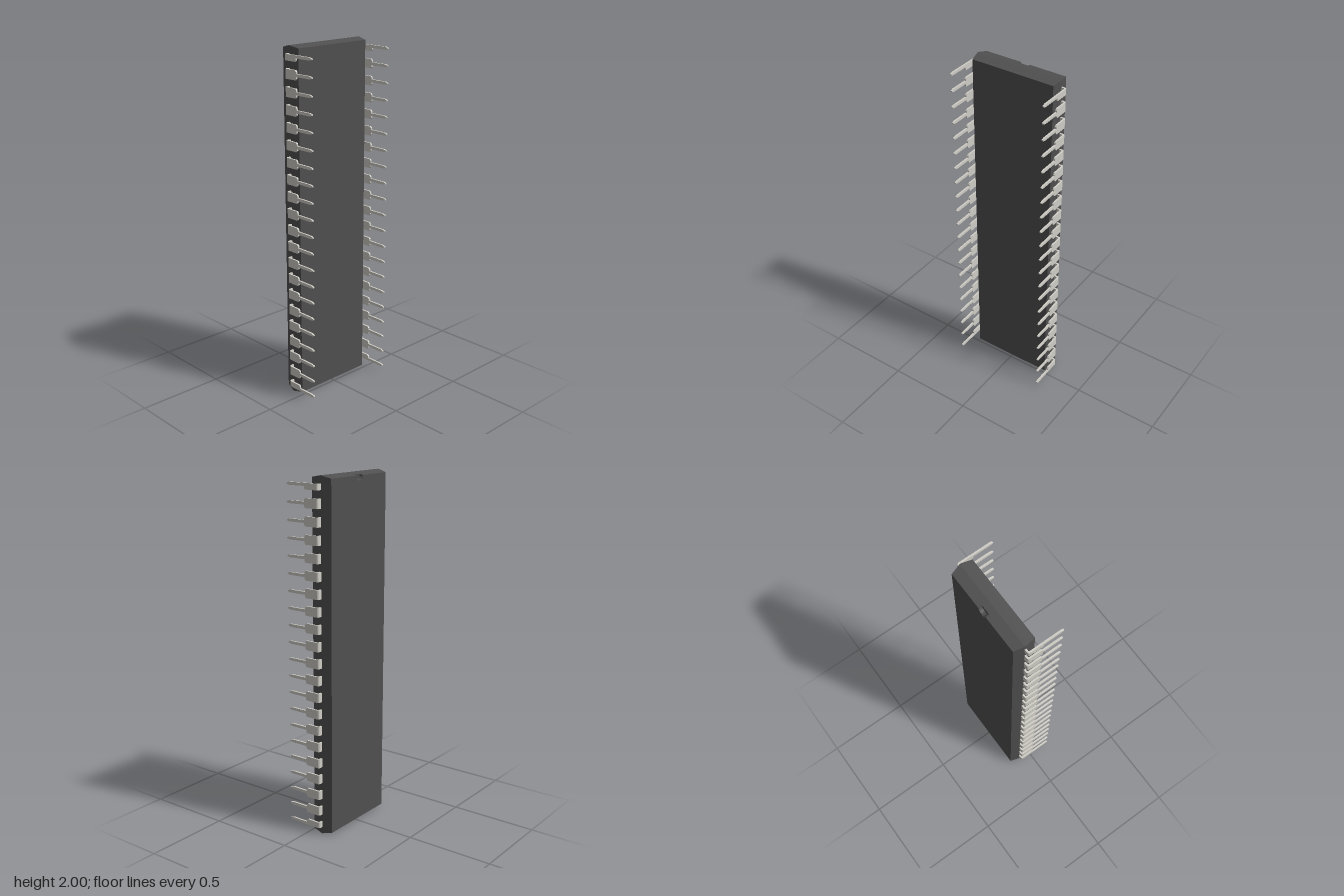
import * as THREE from 'three';
import { mergeGeometries } from 'three/addons/utils/BufferGeometryUtils.js';

const HALF_W = 0.257, HALF_H = 1;             // body at its widest seam
const PITCH = 0.0952, PINS_PER_SIDE = 21;
const SHOULDER = 0.026, LEG = 0.008;          // half widths of a pin
const OUT = 0.285, THICK = 0.01;              // pin outer face and sheet thickness

// One layer of the body between two depths, each inset from the widest outline.
function slab(z0, inset0, z1, inset1, notchRadius = 0) {
  const s = new THREE.Shape();
  s.moveTo(-HALF_W, -HALF_H);
  s.lineTo(HALF_W, -HALF_H);
  s.lineTo(HALF_W, HALF_H);
  if (notchRadius) {
    s.lineTo(notchRadius, HALF_H);
    s.absarc(0, HALF_H, notchRadius, 0, -Math.PI, true);
  }
  s.lineTo(-HALF_W, HALF_H);
  s.closePath();
  const g = new THREE.ExtrudeGeometry(s, { depth: z1 - z0, bevelEnabled: false, curveSegments: 16 });
  g.translate(0, 0, z0);
  const p = g.attributes.position;
  const mid = (z0 + z1) / 2;
  for (let i = 0; i < p.count; i++) {
    const inset = p.getZ(i) < mid ? inset0 : inset1;
    const x = p.getX(i), y = p.getY(i);
    if (Math.abs(x) > HALF_W - 1e-4) p.setX(i, x - Math.sign(x) * inset);
    if (Math.abs(y) > HALF_H - 1e-4) p.setY(i, y - Math.sign(y) * inset);
    else if (notchRadius && y > 0) p.setY(i, y - inset);
  }
  g.computeVertexNormals();
  return g;
}

// Bent pin: wide shoulder around the bend, then a narrow leg with a tapered tip.
function pinGeometry(lo, hi) {
  const bend = new THREE.Shape();
  bend.moveTo(0.245, 0.0665);
  bend.lineTo(0.271, 0.0665);
  bend.quadraticCurveTo(OUT - THICK, 0.0665, OUT - THICK, 0.0625);
  bend.lineTo(OUT - THICK, 0);
  bend.lineTo(OUT, 0);
  bend.lineTo(OUT, 0.0625);
  bend.quadraticCurveTo(OUT, 0.0765, 0.271, 0.0765);
  bend.lineTo(0.245, 0.0765);
  bend.closePath();
  const shoulder = new THREE.ExtrudeGeometry(bend, { depth: hi - lo, bevelEnabled: false, curveSegments: 5 });
  shoulder.rotateX(-Math.PI / 2).translate(0, lo, 0);

  const outline = [
    [0, lo], [0.006, lo], [0.013, Math.max(lo, -0.018)], [0.013, -LEG], [0.113, -LEG], [0.131, -0.003],
    [0.131, 0.003], [0.113, LEG], [0.013, LEG], [0.013, Math.min(hi, 0.018)], [0.006, hi], [0, hi],
  ].map(([z, y]) => new THREE.Vector2(z, y))
    .filter((v, i, a) => i === 0 || !v.equals(a[i - 1]));
  const leg = new THREE.ExtrudeGeometry(new THREE.Shape(outline), { depth: THICK, bevelEnabled: false });
  leg.rotateY(-Math.PI / 2).translate(OUT, 0, 0);
  return mergeGeometries([shoulder, leg]);
}

export function createModel() {
  const model = new THREE.Group();
  model.name = 'chipPackage';
  const plastic = new THREE.MeshStandardMaterial({ color: 0x505050 });
  const metal = new THREE.MeshStandardMaterial({ color: 0xd0cec6 });

  // Body: notched back layer, back taper, seam band, front taper
  const body = new THREE.Mesh(mergeGeometries([
    slab(-0.133, 0.014, -0.113, 0.009, 0.028),
    slab(-0.113, 0.009, -0.077, 0),
    slab(-0.077, 0, -0.067, 0),
    slab(-0.067, 0, -0.01, 0.011),
  ]), plastic);
  body.name = 'body';
  body.position.y = 1;
  model.add(body);

  // Pin rows: the end pins have their outer shoulder trimmed
  const full = pinGeometry(-SHOULDER, SHOULDER);
  const topEnd = pinGeometry(-SHOULDER, LEG);
  const bottomEnd = pinGeometry(-LEG, SHOULDER);
  const last = (PINS_PER_SIDE - 1) / 2;
  for (const side of ['left', 'right']) {
    const row = new THREE.Group();
    row.name = side + 'PinRow';
    row.position.y = 1;
    if (side === 'right') row.rotation.z = Math.PI;
    for (let i = -last; i <= last; i++) {
      const pin = new THREE.Mesh(i === last ? topEnd : i === -last ? bottomEnd : full, metal);
      pin.name = 'pin';
      pin.position.y = i * PITCH;
      row.add(pin);
    }
    model.add(row);
  }
  return model;
}
